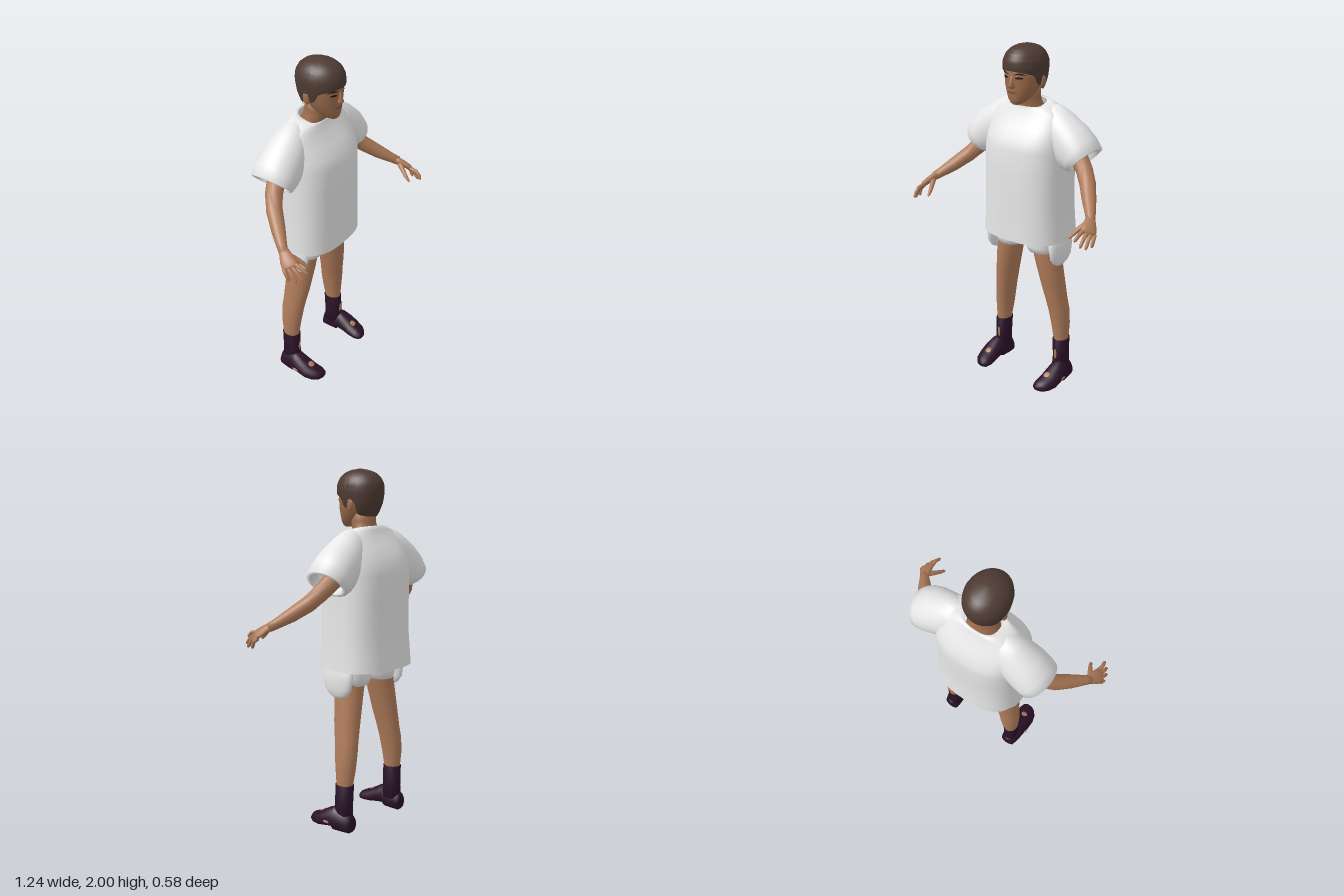
import * as THREE from 'three';

const V = (x, y, z) => new THREE.Vector3(x, y, z);
const mat = (name, color, side = THREE.FrontSide) => {
  const m = new THREE.MeshStandardMaterial({ color, side });
  m.name = name;
  return m;
};

// Skin over a list of point rings
function loft(rings, capStart = true, capEnd = true, closed = true) {
  const all = rings.slice();
  const centre = r => {
    const c = r.reduce((a, p) => a.add(p), V(0, 0, 0)).divideScalar(r.length);
    return r.map(() => c.clone());
  };
  if (capStart) all.unshift(centre(rings[0]));
  if (capEnd) all.push(centre(rings[rings.length - 1]));
  const n = all[0].length, index = [];
  for (let i = 0; i < all.length - 1; i++) {
    for (let j = 0; j < (closed ? n : n - 1); j++) {
      const k = (j + 1) % n, a = i * n + j, b = i * n + k, c = b + n, d = a + n;
      index.push(a, b, c, a, c, d);
    }
  }
  const g = new THREE.BufferGeometry().setFromPoints(all.flat());
  g.setIndex(index);
  g.computeVertexNormals();
  return g;
}

const pow = (c, n) => Math.sign(c) * Math.abs(c) ** (2 / n);

// Level ring: [y, half width, front z, back z, centre x, lift at the front]
function yRing([y, rx, zf, zb, cx = 0, tilt = 0], n = 2, seg = 32) {
  return Array.from({ length: seg }, (_, j) => {
    const a = j / seg * Math.PI * 2, s = -pow(Math.sin(a), n);
    return V(cx + rx * pow(Math.cos(a), n), y + tilt * s, (zf + zb) / 2 + s * (zf - zb) / 2);
  });
}
const column = (rows, n, seg, c0, c1) => loft(rows.map(r => yRing(r, n, seg)), c0, c1);

// Limb along a path of [x, y, z, radius, second radius]
function limb(path, hint = V(0, 1, 0), seg = 14) {
  const pts = path.map(p => V(p[0], p[1], p[2]));
  return loft(path.map((p, i) => {
    const t = pts[Math.min(i + 1, pts.length - 1)].clone().sub(pts[Math.max(i - 1, 0)]).normalize();
    const v = t.clone().cross(hint).normalize(), u = v.clone().cross(t);
    return Array.from({ length: seg }, (_, j) => {
      const a = j / seg * Math.PI * 2;
      return pts[i].clone().addScaledVector(u, p[3] * Math.cos(a)).addScaledVector(v, (p[4] ?? p[3]) * Math.sin(a));
    });
  }));
}

function mirrored(geo) {
  const g = geo.clone().scale(-1, 1, 1), ix = g.index.array;
  for (let i = 0; i < ix.length; i += 3) [ix[i + 1], ix[i + 2]] = [ix[i + 2], ix[i + 1]];
  g.computeVertexNormals();
  return g;
}

// Row of a table at a given key, linearly interpolated
function sample(table, key) {
  let i = 0;
  while (i < table.length - 2 && table[i + 1][0] < key) i++;
  const a = table[i], b = table[i + 1];
  const t = THREE.MathUtils.clamp((key - a[0]) / (b[0] - a[0]), 0, 1);
  return a.map((v, k) => v + (b[k] - v) * t);
}

export function createModel() {
  const skin = mat('skin', 0xb07c5a), face = mat('face skin', 0x9c6c4c);
  const hair = mat('hair', 0x4e3b33, THREE.DoubleSide), dark = mat('brows and eyes', 0x24150f, THREE.DoubleSide);
  const lips = mat('lips', 0x7c4a3a, THREE.DoubleSide);
  const cloth = mat('white cloth', 0xececec, THREE.DoubleSide), shoeMat = mat('dark shoe', 0x2a1228);
  const model = new THREE.Group();
  model.name = 'standingPerson';
  const add = (name, geo, m) => {
    const mesh = new THREE.Mesh(geo, m);
    mesh.name = name;
    model.add(mesh);
  };
  const pair = (name, geo, m) => {
    add('left' + name, geo, m);
    add('right' + name, mirrored(geo), m);
  };

  // Shirt body, open at the hem and the neck
  add('shirtBody', column([
    [0.92, 0.262, 0.13, -0.288], [1.0, 0.256, 0.128, -0.282], [1.13, 0.25, 0.126, -0.272],
    [1.3, 0.248, 0.124, -0.274], [1.44, 0.248, 0.119, -0.274], [1.5, 0.247, 0.098, -0.262],
    [1.55, 0.243, 0.066, -0.238], [1.6, 0.235, 0.034, -0.208], [1.64, 0.21, 0.014, -0.18],
    [1.67, 0.165, 0.006, -0.163, 0, -0.008], [1.684, 0.12, 0.004, -0.155, 0, -0.015],
    [1.674, 0.09, 0.002, -0.148, 0, -0.018]], 2.7, 48, false, false), cloth);

  // Sleeves: [top x, top y, bottom x, bottom y, half depth], with a turned-in cuff
  const sleeve = [[0.1, 1.675, 0.1, 1.42, 0.085], [0.175, 1.682, 0.14, 1.39, 0.102], [0.24, 1.65, 0.19, 1.36, 0.115],
    [0.33, 1.59, 0.235, 1.34, 0.124], [0.39, 1.535, 0.262, 1.333, 0.125], [0.428, 1.48, 0.285, 1.336, 0.122],
    [0.412, 1.464, 0.3, 1.35, 0.1], [0.36, 1.5, 0.265, 1.38, 0.095]];
  pair('Sleeve', loft(sleeve.map(([tx, ty, bx, by, d]) => Array.from({ length: 32 }, (_, j) => {
    const a = j / 32 * Math.PI * 2, c = Math.cos(a) / 2;
    return V((tx + bx) / 2 + (tx - bx) * c, (ty + by) / 2 + (ty - by) * c, -0.096 + d * Math.sin(a));
  })), false, false), cloth);

  // Shorts with loose side pockets
  add('shortsHips', column([[0.9, 0.19, 0.035, -0.17], [1.0, 0.21, 0.045, -0.185], [1.15, 0.2, 0.04, -0.18]], 2.4), cloth);
  pair('ShortsLeg', column([[0.85, 0.07, 0.015, -0.145, 0.115], [0.832, 0.083, 0.032, -0.162, 0.113, 0.004],
    [0.87, 0.098, 0.042, -0.172, 0.108], [0.95, 0.104, 0.044, -0.178, 0.106], [1.02, 0.1, 0.04, -0.17, 0.105]], 2.2, 28), cloth);
  pair('ShortsPocket', column([[0.768, 0.012, -0.03, -0.1, 0.226], [0.785, 0.022, -0.002, -0.13, 0.226],
    [0.82, 0.029, 0.024, -0.155, 0.228], [0.88, 0.033, 0.036, -0.166, 0.226], [0.97, 0.033, 0.03, -0.16, 0.215]], 2.2, 24), cloth);

  // Legs
  pair('Leg', column([[0.1, 0.035, -0.06, -0.14, 0.22], [0.27, 0.042, -0.052, -0.152, 0.217],
    [0.36, 0.05, -0.042, -0.165, 0.211], [0.45, 0.056, -0.03, -0.168, 0.201], [0.52, 0.058, -0.02, -0.163, 0.188],
    [0.62, 0.064, -0.002, -0.16, 0.17], [0.75, 0.072, 0.014, -0.156, 0.146], [0.85, 0.078, 0.02, -0.152, 0.126],
    [1.0, 0.085, 0.02, -0.16, 0.105]], 2, 24), skin);

  // Socks and shoes
  pair('Sock', column([[0.07, 0.047, -0.035, -0.155, 0.221], [0.15, 0.043, -0.044, -0.153, 0.22],
    [0.272, 0.046, -0.047, -0.157, 0.217]], 2.1, 24), shoeMat);
  // Shoe stations: [z, centre x, half width, top, bottom]
  const shoe = [[-0.163, 0.225, 0.025, 0.075, 0.012], [-0.155, 0.226, 0.044, 0.1, 0], [-0.11, 0.229, 0.053, 0.125, 0],
    [-0.06, 0.233, 0.056, 0.136, 0], [-0.045, 0.234, 0.056, 0.135, 0.018], [0, 0.236, 0.06, 0.115, 0.014],
    [0.045, 0.234, 0.062, 0.088, 0.007], [0.09, 0.226, 0.056, 0.07, 0.006], [0.12, 0.218, 0.04, 0.056, 0.009],
    [0.132, 0.214, 0.022, 0.042, 0.016]];
  pair('Shoe', loft(shoe.map(([z, cx, rx, top, bot]) => Array.from({ length: 24 }, (_, j) => {
    const a = j / 24 * Math.PI * 2, s = pow(Math.sin(a), 3);
    const taper = s > 0 ? 1 - 0.35 * s : 1;
    return V(cx + rx * taper * pow(Math.cos(a), 2.6), (top + bot) / 2 + s * (top - bot) / 2, z);
  }))), shoeMat);
  // Bare patches showing through the footwear
  const patch = (sx, sy, sz, rx, x, y, z) => new THREE.SphereGeometry(1, 12, 8).scale(sx, sy, sz).rotateX(rx).translate(x, y, z);
  pair('SockPatch', patch(0.009, 0.036, 0.004, 0.05, 0.217, 0.18, -0.044), skin);
  pair('ShoePatch', patch(0.02, 0.004, 0.02, 0.5, 0.226, 0.086, 0.05), skin);
  pair('ShoeSidePatch', patch(0.004, 0.008, 0.022, 0, 0.294, 0.052, -0.025), skin);

  // Arms and hands
  pair('Arm', limb([[0.2, 1.52, -0.1, 0.056], [0.3, 1.43, -0.1, 0.052], [0.37, 1.36, -0.07, 0.047],
    [0.42, 1.305, -0.03, 0.044], [0.48, 1.245, 0.04, 0.038], [0.53, 1.2, 0.1, 0.028], [0.553, 1.18, 0.13, 0.025]]), skin);
  const across = V(0.05, -0.03, -0.05);
  pair('Palm', limb([[0.54, 1.19, 0.115, 0.025, 0.022], [0.556, 1.177, 0.14, 0.031, 0.02], [0.57, 1.16, 0.165, 0.04, 0.018],
    [0.582, 1.143, 0.19, 0.043, 0.016], [0.587, 1.134, 0.2, 0.036, 0.011]], across), skin);
  [[0.56, 1.115, 0.285], [0.585, 1.082, 0.272], [0.602, 1.068, 0.245], [0.611, 1.068, 0.202]].forEach((tip, i) => {
    const k = i / 3, base = V(0.562 + 0.042 * k, 1.15 - 0.026 * k, 0.21 - 0.042 * k);
    const mid = base.clone().lerp(V(...tip), 0.5).add(V(0.004, 0.009, 0.003));
    pair('Finger' + (i + 1), limb([[...base, 0.0125], [...mid, 0.0105],
      [...mid.clone().lerp(V(...tip), 0.8), 0.009], [...tip, 0.004]], across, 10), skin);
  });
  pair('Thumb', limb([[0.55, 1.175, 0.14, 0.017], [0.526, 1.15, 0.178, 0.014], [0.508, 1.125, 0.213, 0.011],
    [0.5, 1.107, 0.236, 0.008], [0.496, 1.1, 0.243, 0.003]], V(0, 1, 0), 10), skin);

  // Neck and head
  add('neck', column([[1.6, 0.095, 0, -0.15], [1.655, 0.087, 0, -0.146], [1.685, 0.072, 0.004, -0.132],
    [1.72, 0.067, 0.012, -0.125], [1.78, 0.068, 0.01, -0.125]], 2, 28), face);
  const head = [[1.686, 0.02, 0.066, 0.02], [1.695, 0.037, 0.076, -0.005], [1.715, 0.057, 0.082, -0.04],
    [1.745, 0.077, 0.083, -0.08], [1.785, 0.094, 0.086, -0.115], [1.83, 0.103, 0.087, -0.14],
    [1.88, 0.106, 0.09, -0.15], [1.95, 0.085, 0.06, -0.13], [1.985, 0.035, 0, -0.08]];
  add('head', column(head, 2.1, 36), face);
  add('nose', column([[1.776, 0.01, 0.09, 0.07], [1.784, 0.02, 0.104, 0.06], [1.793, 0.018, 0.11, 0.06],
    [1.815, 0.012, 0.1, 0.06], [1.845, 0.01, 0.092, 0.06]], 2, 14), face);
  pair('Ear', patch(0.01, 0.035, 0.02, -0.15, 0.106, 1.81, -0.05), face);

  // Face details that follow the curve of the head
  const faceZ = (x, y) => {
    const [, rx, zf, zb] = sample(head, y);
    return (zf + zb) / 2 + (zf - zb) / 2 * (1 - Math.abs(x / rx) ** 2.1) ** (1 / 2.1) + 0.003;
  };
  const faceStrip = (x0, x1, y, h, bow) => loft([-1, 1].map(s => Array.from({ length: 9 }, (_, i) => {
    const t = i / 8, x = x0 + (x1 - x0) * t, e = Math.sin(Math.PI * t);
    const py = y + bow * e + s * h * (0.25 + 0.75 * e);
    return V(x, py, faceZ(x, py));
  })), false, false, false);
  pair('Eye', faceStrip(0.024, 0.064, 1.834, 0.006, 0.001), dark);
  pair('Brow', faceStrip(0.018, 0.076, 1.851, 0.004, 0.006), dark);
  add('mouth', faceStrip(-0.032, 0.032, 1.757, 0.005, -0.003), lips);

  // Short hair: the lower edge steps round the ears, from back (-1) to front (1)
  const hairline = [[-1, 1.745], [-0.45, 1.757], [-0.3, 1.83], [0, 1.842], [0.08, 1.79], [0.3, 1.795], [0.45, 1.848], [1, 1.872]];
  const hairShape = [[1.73, 0.075, 0.03, -0.115], [1.77, 0.1, 0.06, -0.14], [1.82, 0.111, 0.09, -0.165],
    [1.88, 0.117, 0.105, -0.176], [1.92, 0.113, 0.102, -0.174], [1.955, 0.097, 0.085, -0.155],
    [1.98, 0.071, 0.055, -0.125], [1.994, 0.04, 0.02, -0.085], [2, 0.008, -0.02, -0.045]];
  add('hair', loft(Array.from({ length: 17 }, (_, i) => {
    const t = 1 - (1 - i / 16) ** 1.5;
    return Array.from({ length: 56 }, (_, j) => {
      const a = j / 56 * Math.PI * 2, f = -Math.sin(a);
      const y = THREE.MathUtils.lerp(sample(hairline, f)[1], 2, t);
      const [, rx, zf, zb] = sample(hairShape, y);
      return V(rx * Math.cos(a), y, (zf + zb) / 2 + f * (zf - zb) / 2);
    });
  }), false, true), hair);

  return model;
}
